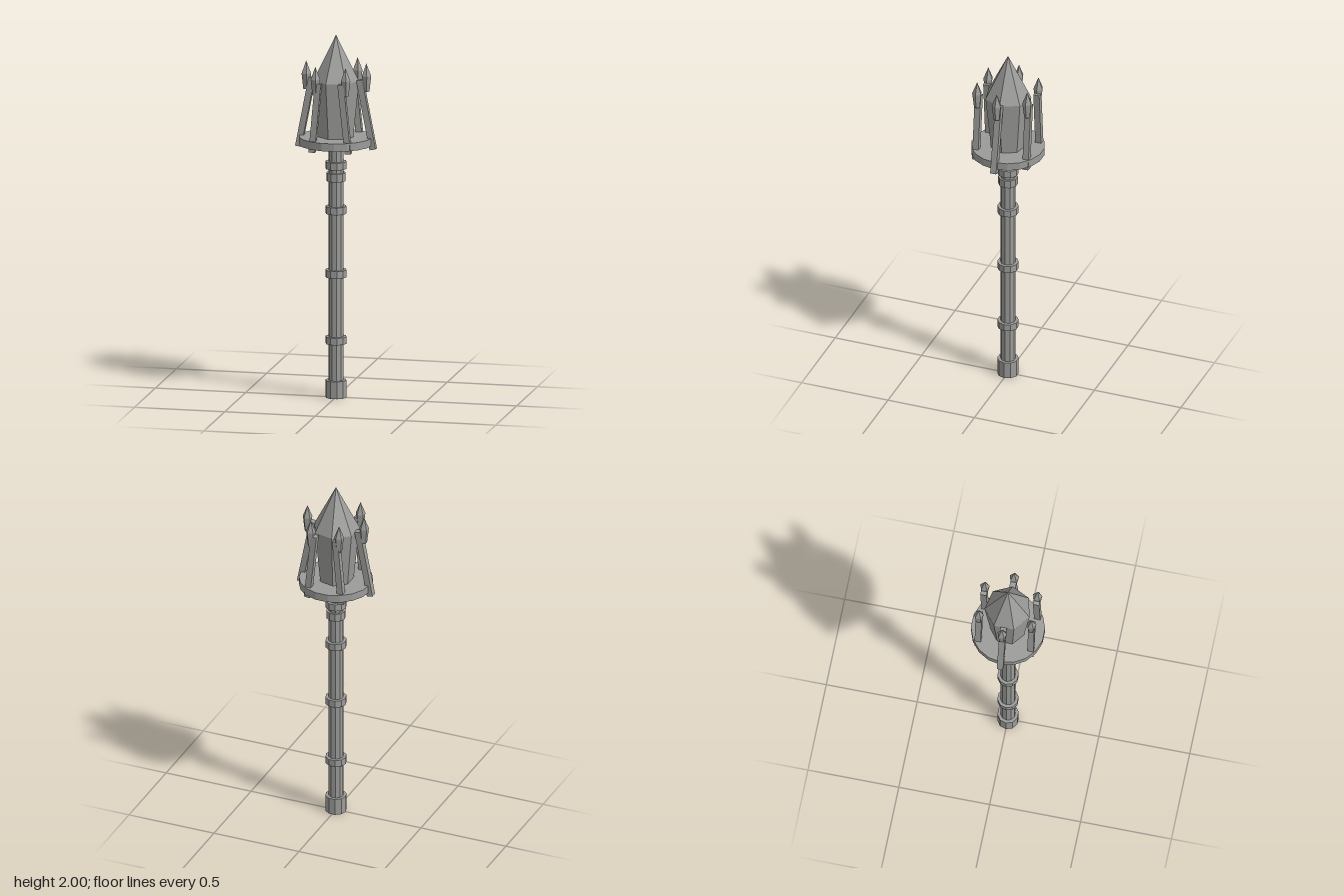
import * as THREE from 'three';

export function createModel() {
  const model = new THREE.Group();
  const stone = new THREE.MeshStandardMaterial({ color: 0x9b9b99, flatShading: true });
  stone.name = 'grey stone';

  const add = (geometry, name, parent = model) => {
    const mesh = new THREE.Mesh(geometry, stone);
    mesh.name = name;
    parent.add(mesh);
    return mesh;
  };

  // Faceted prism or cone between two heights, one corner pointing to +x
  const prism = (name, y0, y1, r0, r1, sides, parent = model, open = false) => {
    const g = new THREE.CylinderGeometry(r1, r0, y1 - y0, sides, 1, open, Math.PI / 2);
    g.translate(0, (y0 + y1) / 2, 0);
    return add(g, name, parent);
  };

  // Handle with pommel and rings
  prism('handle', 0, 1.365, 0.041, 0.041, 10);
  prism('pommel', 0, 0.095, 0.058, 0.058, 10);
  [[0.297, 0.336], [0.664, 0.704], [1.015, 1.055], [1.262, 1.302]].forEach(([y0, y1]) =>
    prism('handleRing', y0, y1, 0.058, 0.058, 10));
  prism('handleCollar', 1.195, 1.24, 0.053, 0.053, 10);

  // Head plate
  prism('headPlate', 1.397, 1.44, 0.2, 0.2, 18);

  // Central crystal: lower point, widening body, upper point
  const crystal = new THREE.Group();
  crystal.name = 'crystal';
  model.add(crystal);
  prism('crystalBase', 1.375, 1.402, 0, 0.092, 7, crystal, true);
  prism('crystalBody', 1.402, 1.75, 0.092, 0.127, 7, crystal, true);
  prism('crystalTip', 1.75, 2, 0.127, 0, 7, crystal, true);

  // Leaning posts, each carrying a small spike: bottom x, top x, z, spike x
  const posts = [
    [-0.206, -0.132, 0, -0.165], [0.206, 0.132, 0, 0.168],
    [-0.098, -0.064, 0.145, -0.081], [-0.098, -0.064, -0.145, -0.081],
    [0.102, 0.062, 0.145, 0.086], [0.102, 0.062, -0.145, 0.086],
  ];
  for (const [x0, x1, z, spikeX] of posts) {
    const y0 = 1.378, y1 = 1.758;
    const post = add(new THREE.BoxGeometry(0.034, Math.hypot(x1 - x0, y1 - y0), 0.034), 'post');
    post.position.set((x0 + x1) / 2, (y0 + y1) / 2, z);
    post.rotation.z = -Math.atan2(x1 - x0, y1 - y0);

    const spike = new THREE.Group();
    spike.name = 'spike';
    spike.position.set(spikeX, 0, z);
    model.add(spike);
    prism('spikeBody', 1.695, 1.78, 0.017, 0.027, 5, spike);
    prism('spikeTip', 1.78, 1.85, 0.027, 0, 5, spike, true);
  }
  return model;
}
